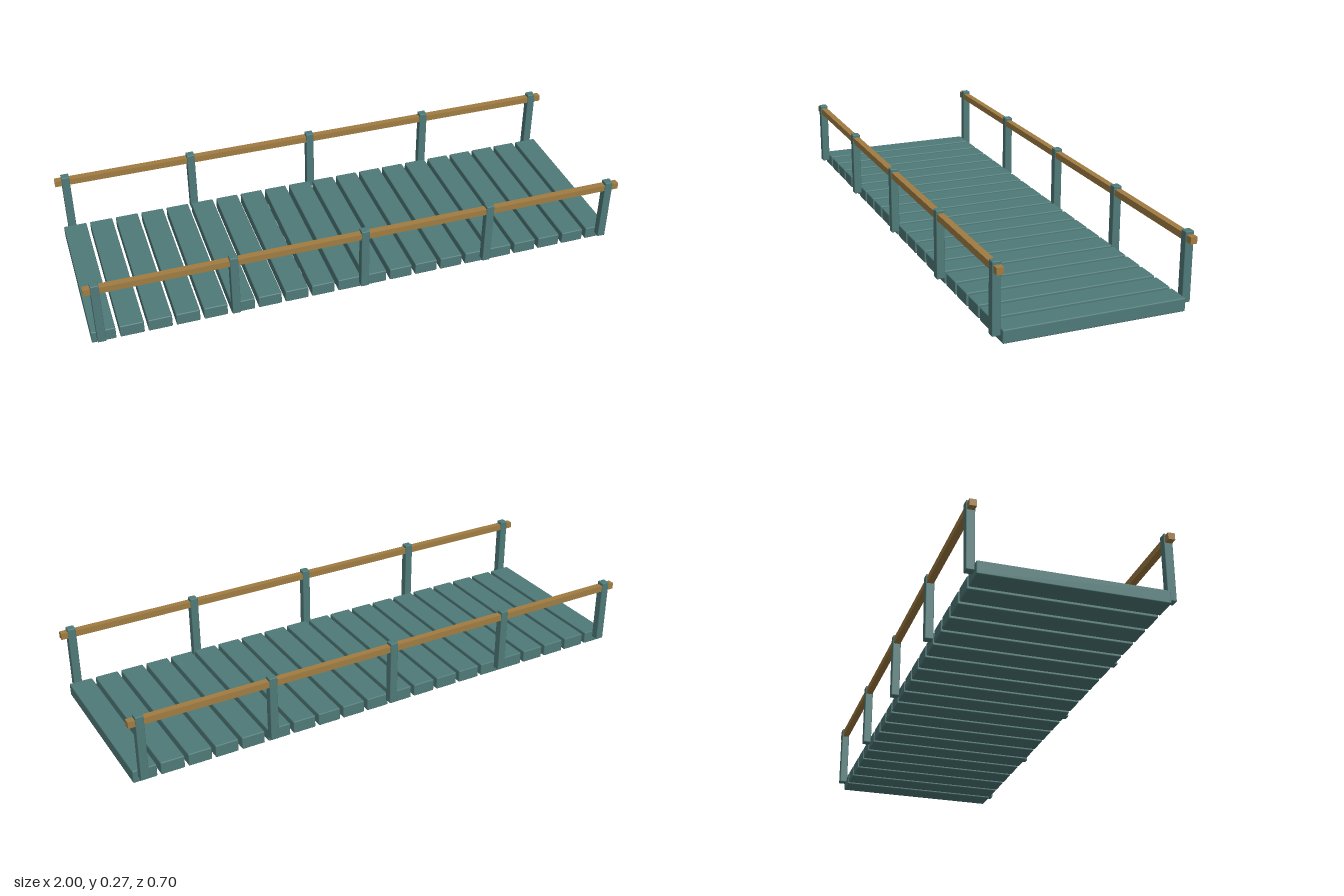
import * as THREE from 'three';
import { RoundedBoxGeometry } from 'three/addons/geometries/RoundedBoxGeometry.js';

export function createModel() {
  const bridge = new THREE.Group();
  bridge.name = 'footbridge';

  const paintedWood = new THREE.MeshStandardMaterial({ color: 0x4f7a78 });
  paintedWood.name = 'teal painted wood';
  const railWood = new THREE.MeshStandardMaterial({ color: 0xa17c42 });
  railWood.name = 'brown rail wood';

  const add = (name, geometry, material, x, y, z) => {
    const mesh = new THREE.Mesh(geometry, material);
    mesh.name = name;
    mesh.position.set(x, y, z);
    bridge.add(mesh);
  };

  // Deck of evenly spaced planks with softened edges
  const plankCount = 20;
  const plank = new RoundedBoxGeometry(0.086, 0.047, 0.64, 2, 0.004);
  for (let i = 0; i < plankCount; i++) {
    add('plank', plank, paintedWood, -0.95 + i * 0.1, 0.0235, 0);
  }

  // Posts and handrail along each side
  const post = new RoundedBoxGeometry(0.03, 0.247, 0.03, 2, 0.003);
  const rail = new THREE.BoxGeometry(2, 0.024, 0.024);
  for (const [side, z] of [['front', 0.333], ['back', -0.333]]) {
    for (let i = -2; i <= 2; i++) {
      add(side + 'Post', post, paintedWood, i * 0.48, 0.1445, z);
    }
    add(side + 'Handrail', rail, railWood, 0, 0.245, z);
  }

  return bridge;
}
